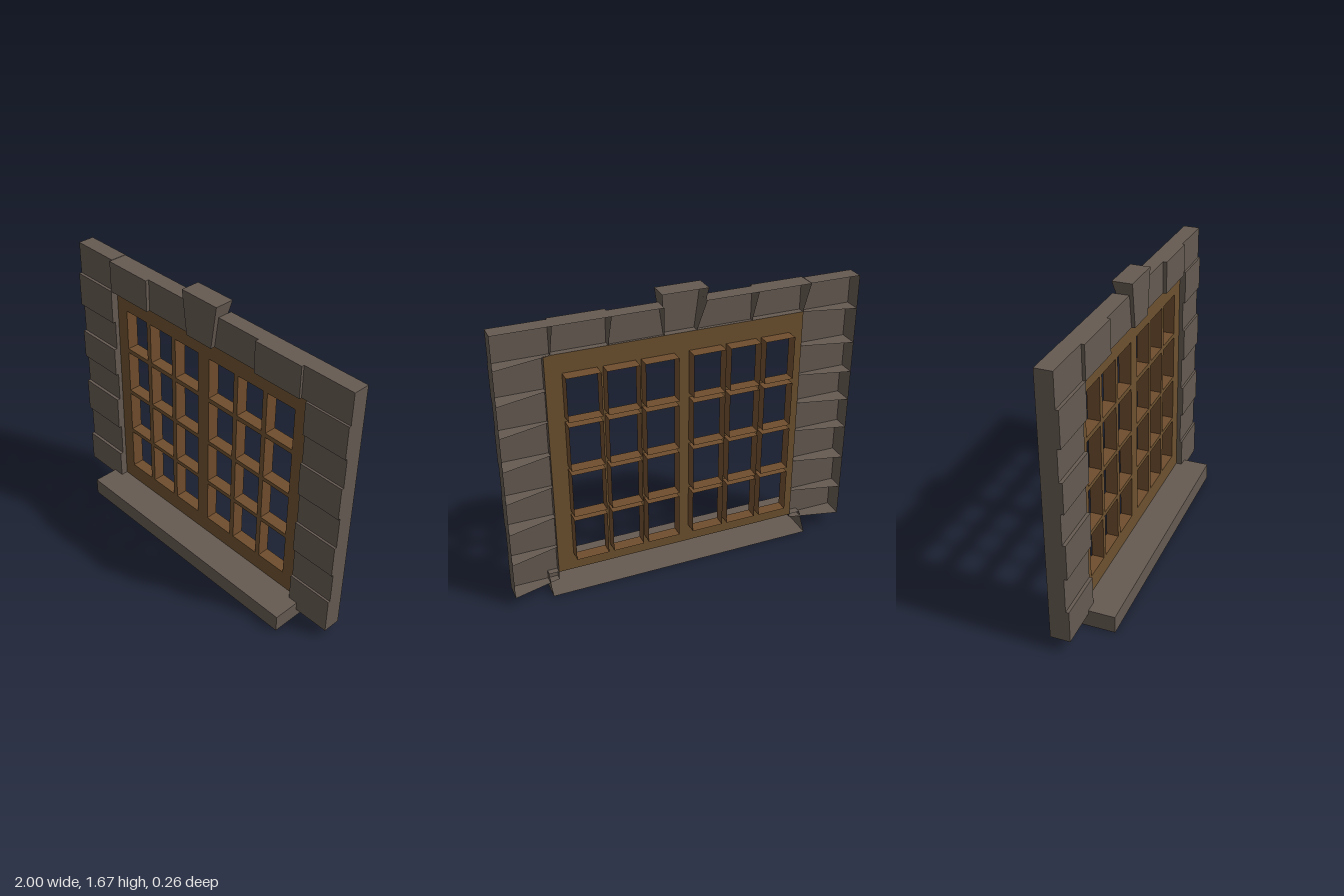
import * as THREE from 'three';

const BACK = -0.13;   // rear edge of the outer walls
const INNER = -0.06;  // plane of the timber frame

const stoneMat = new THREE.MeshStandardMaterial({ color: 0x655a52, side: THREE.DoubleSide, flatShading: true });
const woodMat = new THREE.MeshStandardMaterial({ color: 0x6b502e, side: THREE.DoubleSide, flatShading: true });
const revealMat = new THREE.MeshStandardMaterial({ color: 0x6f4d2d, side: THREE.DoubleSide, flatShading: true });

// Open-backed block: counter-clockwise [x, y, backZ] corners, walls run from frontZ to each backZ
function shell(corners, frontZ, capped = true) {
  const pos = [];
  const quad = (a, b, c, d) => pos.push(...a, ...b, ...c, ...a, ...c, ...d);
  const front = corners.map(([x, y]) => [x, y, frontZ]);
  if (capped) quad(...front);
  corners.forEach((back, i) => {
    const j = (i + 1) % 4;
    quad(front[i], back, corners[j], front[j]);
  });
  const geo = new THREE.BufferGeometry();
  geo.setAttribute('position', new THREE.Float32BufferAttribute(pos, 3));
  geo.computeVertexNormals();
  return geo;
}

function add(group, name, geo, mat) {
  const mesh = new THREE.Mesh(geo, mat);
  mesh.name = name;
  group.add(mesh);
}

// Side columns of blocks with alternating projection
function buildJamb(name, inner, outer, joints, fronts) {
  const jamb = new THREE.Group();
  jamb.name = name;
  for (let i = 0; i < joints.length - 1; i++) {
    const top = joints[i], bottom = joints[i + 1];
    const corners = inner < 0
      ? [[outer, bottom, BACK], [inner, bottom, INNER], [inner, top, INNER], [outer, top, BACK]]
      : [[inner, bottom, INNER], [outer, bottom, BACK], [outer, top, BACK], [inner, top, INNER]];
    add(jamb, 'jambStone', shell(corners, fronts[i % 2]), stoneMat);
  }
  return jamb;
}

// Row of blocks across the top with a taller keystone
function buildLintel() {
  const lintel = new THREE.Group();
  lintel.name = 'lintel';
  const y = 1.417;
  // bottom left x, bottom right x, top left x, top right x, top y, front z
  const stones = [
    ['cornerStone', -1, -0.708, -1, -0.708, 1.605, -0.035],
    ['lintelStone', -0.708, -0.404, -0.708, -0.404, 1.603, -0.018],
    ['lintelStone', -0.404, -0.087, -0.404, -0.111, 1.603, -0.038],
    ['keystone', -0.087, 0.096, -0.12, 0.132, 1.67, -0.018],
    ['lintelStone', 0.096, 0.397, 0.122, 0.397, 1.6, -0.044],
    ['lintelStone', 0.397, 0.697, 0.397, 0.697, 1.6, -0.022],
    ['cornerStone', 0.697, 1, 0.697, 1, 1.6, -0.037],
  ];
  for (const [name, bl, br, tl, tr, top, z] of stones) {
    add(lintel, name, shell([
      [bl, y, bl === -1 ? BACK : INNER], [br, y, br === 1 ? BACK : INNER],
      [tr, top, BACK], [tl, top, BACK],
    ], z), stoneMat);
  }
  return lintel;
}

// Wooden sheet with pane openings, each opening lined by a short sleeve
function buildWindow() {
  const win = new THREE.Group();
  win.name = 'windowFrame';
  const rect = (P, x0, x1, y0, y1) => {
    const p = new P();
    p.moveTo(x0, y0); p.lineTo(x1, y0); p.lineTo(x1, y1); p.lineTo(x0, y1);
    p.closePath();
    return p;
  };
  const sheet = rect(THREE.Shape, -0.71, 0.733, 0.1, 1.418);
  const columns = [[-0.63, -0.46], [-0.43, -0.255], [-0.225, -0.043], [0.04, 0.224], [0.254, 0.43], [0.46, 0.644]];
  const rows = [[0.207, 0.465], [0.49, 0.75], [0.775, 1.036], [1.063, 1.31]];
  for (const [x0, x1] of columns) {
    for (const [y0, y1] of rows) {
      sheet.holes.push(rect(THREE.Path, x0, x1, y0, y1));
      add(win, 'paneReveal', shell([
        [x0, y0, BACK], [x1, y0, BACK], [x1, y1, BACK], [x0, y1, BACK],
      ], INNER, false), revealMat);
    }
  }
  const geo = new THREE.ShapeGeometry(sheet);
  geo.translate(0, 0, INNER);
  add(win, 'frameFace', geo, woodMat);
  return win;
}

export function createModel() {
  const model = new THREE.Group();
  model.name = 'stoneWindow';
  model.add(buildJamb('rightJamb', -0.708, -1, [1.417, 1.215, 1.036, 0.86, 0.68, 0.475, 0.27, 0.08], [-0.018, -0.036]));
  model.add(buildJamb('leftJamb', 0.733, 1, [1.417, 1.225, 1.047, 0.852, 0.657, 0.465, 0.27, 0.052], [-0.025, -0.038]));
  model.add(buildLintel());
  model.add(buildWindow());

  // Projecting sill, its ends slanting back below the frame
  add(model, 'sill', shell([
    [-0.775, 0, BACK], [0.79, 0, BACK], [0.79, 0.102, INNER], [-0.775, 0.102, INNER],
  ], 0.132), stoneMat);
  return model;
}
